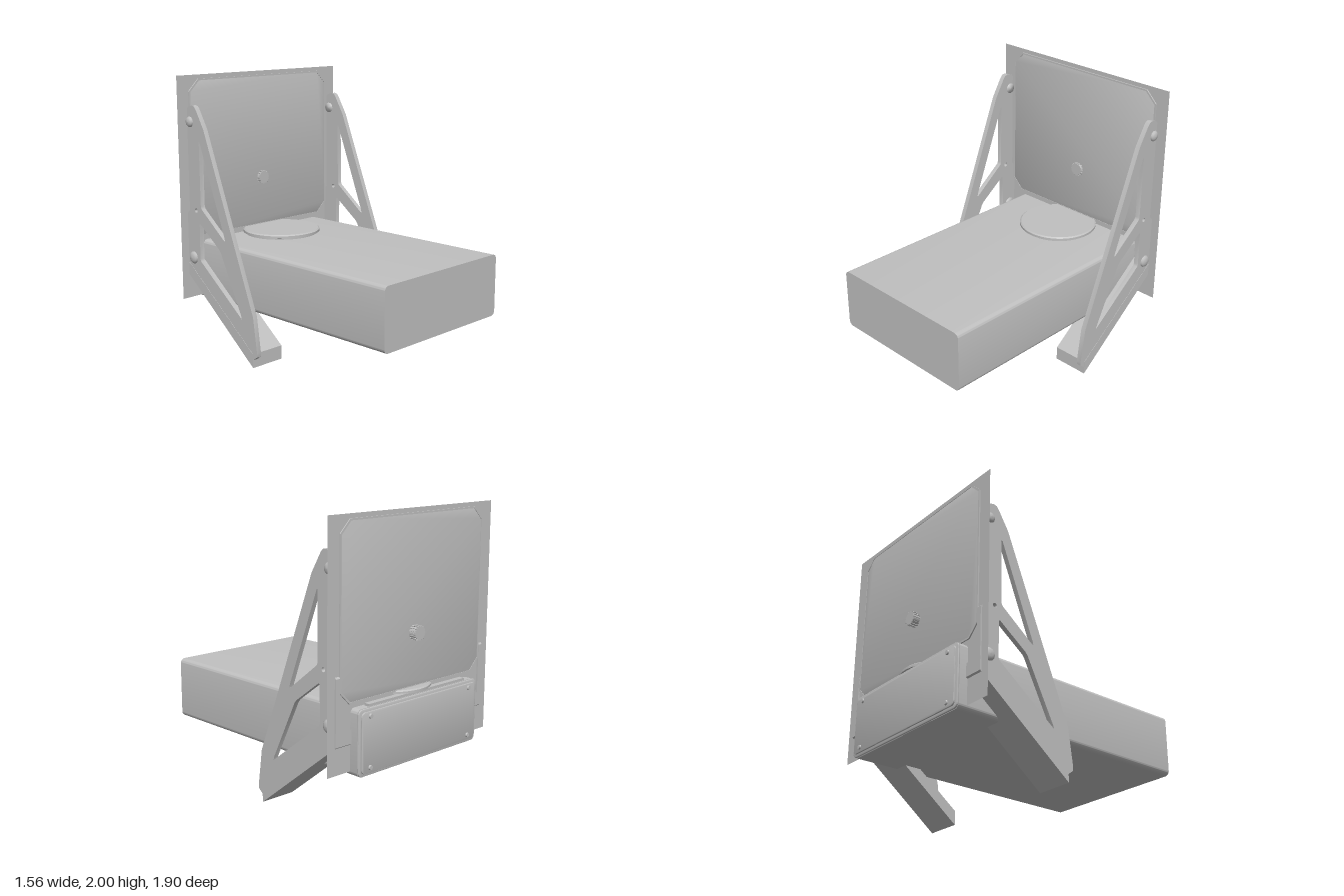
import * as THREE from 'three';
import { toCreasedNormals } from 'three/addons/utils/BufferGeometryUtils.js';

const grey = new THREE.MeshStandardMaterial({ color: 0xc0c0c0 });
grey.name = 'satin grey';
const greySheet = grey.clone();
greySheet.name = 'satin grey sheet';
greySheet.side = THREE.DoubleSide;

const shapeOf = pts => new THREE.Shape(pts.map(([a, b]) => new THREE.Vector2(a, b)));

function roundedRect(x0, y0, x1, y1, r) {
  const s = new THREE.Shape();
  s.absarc(x1 - r, y1 - r, r, 0, Math.PI / 2);
  s.absarc(x0 + r, y1 - r, r, Math.PI / 2, Math.PI);
  s.absarc(x0 + r, y0 + r, r, Math.PI, Math.PI * 1.5);
  s.absarc(x1 - r, y0 + r, r, Math.PI * 1.5, Math.PI * 2);
  s.closePath();
  return s;
}

// Extrudes along z from z0 to z1, with an optional bevel kept inside that depth
function slabZ(shape, z0, z1, bevel = 0) {
  const geo = new THREE.ExtrudeGeometry(shape, {
    depth: z1 - z0 - 2 * bevel, bevelEnabled: bevel > 0, bevelSize: bevel,
    bevelOffset: -bevel, bevelThickness: bevel, bevelSegments: 2, curveSegments: 8
  });
  geo.translate(0, 0, z0 + bevel);
  return toCreasedNormals(geo, 0.6);
}

// Extrudes a side profile, drawn as (distance back, height), from x0 to x1
function slabX(shape, x0, x1) {
  const geo = new THREE.ExtrudeGeometry(shape, { depth: x1 - x0, bevelEnabled: false, curveSegments: 10 });
  geo.rotateY(Math.PI / 2);
  geo.translate(x0, 0, 0);
  return toCreasedNormals(geo, 0.6);
}

export function createModel() {
  const model = new THREE.Group();
  model.name = 'bracketMountedUnit';
  const add = (name, geo, parent = model, mat = grey) => {
    const mesh = new THREE.Mesh(geo, mat);
    mesh.name = name;
    parent.add(mesh);
    return mesh;
  };

  // Long housing, rounded along its length
  add('housing', slabZ(roundedRect(-0.58, 0.34, 0.58, 0.785, 0.035), -0.915, 0.95));
  add('housingEndRim', slabZ(roundedRect(-0.58, 0.34, 0.58, 0.785, 0.035), -0.93, -0.915, 0.006));
  add('endCap', slabZ(roundedRect(-0.56, 0.36, 0.56, 0.765, 0.03), -0.94, -0.928, 0.003));
  for (const x of [-0.485, 0.485]) for (const y of [0.395, 0.735]) {
    const screw = add('capScrew', new THREE.CylinderGeometry(0.018, 0.014, 0.014, 20));
    screw.rotation.x = Math.PI / 2;
    screw.position.set(x, y, -0.943);
  }

  // Round lid and low strip on top of the housing
  const lid = [[0.27, 0.78], [0.27, 0.793], [0.29, 0.798], [0.29, 0.815], [0.28, 0.823], [0, 0.823]];
  const lidGeo = new THREE.LatheGeometry(lid.map(([r, y]) => new THREE.Vector2(r, y)), 64);
  add('roundLid', toCreasedNormals(lidGeo, 0.5)).position.z = -0.635;
  add('topStrip', new THREE.BoxGeometry(0.94, 0.025, 0.04)).position.set(0, 0.79, -0.89);

  // Thin wall sheet and the chamfered panel set in it
  add('wallSheet', new THREE.PlaneGeometry(1.56, 1.63), model, greySheet).position.set(0, 1.185, -0.854);
  const c = 0.085, x = 0.68, y0 = 0.815, y1 = 1.97;
  add('panel', slabZ(shapeOf([[-x + c, y0], [x - c, y0], [x, y0 + c], [x, y1 - c],
    [x - c, y1], [-x + c, y1], [-x, y1 - c], [-x, y0 + c]]), -0.86, -0.848, 0.005));
  const rim = shapeOf([[-x + c, y0], [x - c, y0], [x, y0 + c], [x, y1 - c],
    [x - c, y1], [-x + c, y1], [-x, y1 - c], [-x, y0 + c]]);
  const i = 0.012, d = c - 0.005;
  rim.holes.push(shapeOf([[-x + i + d, y0 + i], [x - i - d, y0 + i], [x - i, y0 + i + d], [x - i, y1 - i - d],
    [x - i - d, y1 - i], [-x + i + d, y1 - i], [-x + i, y1 - i - d], [-x + i, y0 + i + d]]));
  add('panelRim', slabZ(rim, -0.863, -0.845));

  // Ridged knob through the panel
  const knob = new THREE.Group();
  knob.name = 'knob';
  knob.position.set(0, 1.188, -0.87);
  model.add(knob);
  add('knobCore', new THREE.CylinderGeometry(0.046, 0.046, 0.085, 32), knob).rotation.x = Math.PI / 2;
  for (let k = 0; k < 16; k++) {
    const a = k * Math.PI / 8;
    const ridge = add('knobRidge', new THREE.BoxGeometry(0.01, 0.009, 0.083), knob);
    ridge.position.set(Math.cos(a) * 0.046, Math.sin(a) * 0.046, 0);
    ridge.rotation.z = a;
  }

  // Side bracket profile with two triangular windows and a pin hole
  const web = shapeOf([[0.154, 0], [0.865, 0.556], [0.865, 0.996], [0.828, 1.033], [0.828, 1.765],
    [0.815, 1.78], [0.77, 1.793], [0.745, 1.787], [0.727, 1.765], [0.647, 1.632], [0.149, 0.37],
    [0.113, 0.115], [0.117, 0.085], [0.154, 0.058]]);
  web.holes.push(
    shapeOf([[0.435, 0.862], [0.44, 0.885], [0.693, 1.535], [0.703, 1.54], [0.7, 1.075], [0.692, 1.056], [0.447, 0.865]]),
    shapeOf([[0.27, 0.329], [0.275, 0.35], [0.483, 0.768], [0.5, 0.79], [0.71, 0.945], [0.719, 0.94], [0.721, 0.685], [0.714, 0.667]]));
  const pin = new THREE.Path();
  pin.absarc(0.753, 1.039, 0.016, 0, Math.PI * 2);
  web.holes.push(pin);
  const foot = shapeOf([[0.155, 0], [0.865, 0.556], [0.865, 0.65], [0.155, 0.1]]);

  for (const side of [1, -1]) {
    const bracket = new THREE.Group();
    bracket.name = side > 0 ? 'leftBracket' : 'rightBracket';
    model.add(bracket);
    const span = (shape, a, b) => side > 0 ? slabX(shape, a, b) : slabX(shape, -b, -a);
    add('bracketWeb', span(web, 0.68, 0.716), bracket);
    add('bracketFoot', span(foot, 0.45, 0.718), bracket);
    // Domed bolts through the web
    for (const [y, z, r] of [[1.675, -0.8, 0.038], [0.684, -0.797, 0.045]]) {
      const bolt = [[0, 0.67], [r, 0.675], [r, 0.718], [r * 0.8, 0.728], [r * 0.45, 0.734], [0, 0.736]];
      const mesh = add('bolt', new THREE.LatheGeometry(bolt.map(([a, b]) => new THREE.Vector2(a, b)), 28), bracket);
      mesh.rotation.z = -side * Math.PI / 2;
      mesh.position.set(0, y, z);
    }
  }
  return model;
}
